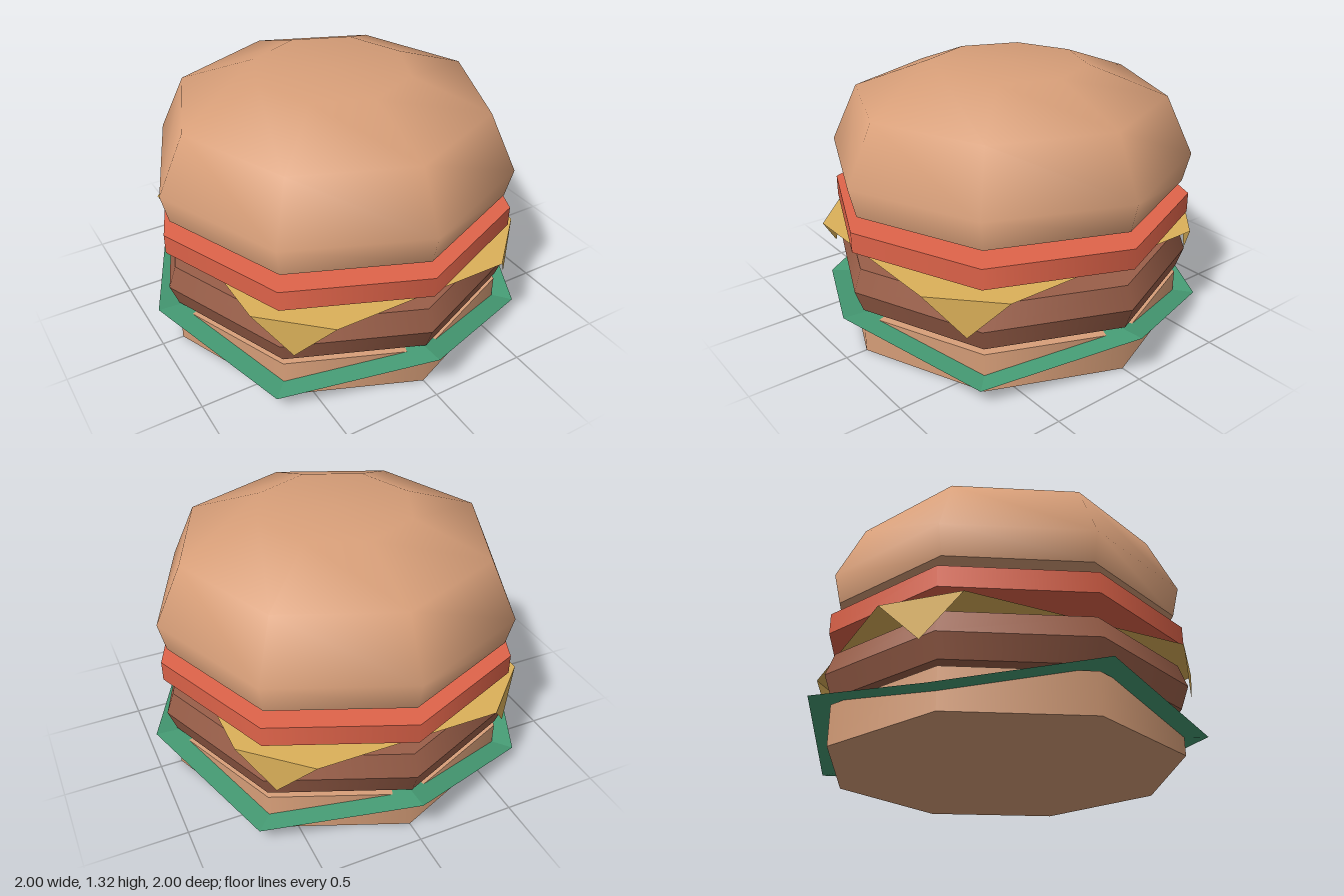
import * as THREE from 'three';

const SIDES = 8;

export function createModel() {
  const model = new THREE.Group();
  model.name = 'burger';

  const solid = (name, color) => Object.assign(new THREE.MeshStandardMaterial({ color }), { name });
  const sheet = (name, color) => Object.assign(
    new THREE.MeshStandardMaterial({ color, side: THREE.DoubleSide, flatShading: true }), { name });
  const bun = solid('bun', 0xd89f79);
  const meat = solid('meat', 0x9a5f49);
  const tomato = solid('tomato', 0xe0644a);
  const lettuce = sheet('lettuce', 0x459b74);
  const cheese = sheet('cheese', 0xdbb059);

  function add(name, geometry, material, parent = model) {
    const mesh = new THREE.Mesh(geometry, material);
    mesh.name = name;
    parent.add(mesh);
    return mesh;
  }

  // Eight-sided drum between two heights, smooth around and sharp at the rims
  function drum(name, y0, y1, r0, r1, material, parent) {
    const geometry = new THREE.CylinderGeometry(r1, r0, y1 - y0, SIDES);
    add(name, geometry, material, parent).position.y = (y0 + y1) / 2;
  }

  // Thin sheet made of triangles
  function sheetGeometry(triangles) {
    const geometry = new THREE.BufferGeometry().setFromPoints(triangles.flat());
    geometry.computeVertexNormals();
    return geometry;
  }

  // Triangles from a centre to a closed ring
  const fan = (centre, ring) => ring.map((p, i) => [centre, p, ring[(i + 1) % ring.length]]);

  drum('bottomBun', 0, 0.2, 0.89, 0.89, bun);

  // Wavy lettuce leaf: rim alternates high and low
  const rim = Array.from({ length: SIDES }, (_, i) => {
    const a = (i / SIDES) * Math.PI * 2;
    return new THREE.Vector3(Math.cos(a), i % 2 ? 0.08 : 0.225, -Math.sin(a));
  });
  add('lettuceLeaf', sheetGeometry(fan(new THREE.Vector3(0, 0.155, 0), rim)), lettuce);

  // Patty bulges at its middle
  const patty = new THREE.Group();
  patty.name = 'patty';
  model.add(patty);
  drum('pattyLower', 0.23, 0.342, 0.89, 0.93, meat, patty);
  drum('pattyUpper', 0.342, 0.455, 0.93, 0.89, meat, patty);

  // Cheese slice: flat top with four corners folded straight down
  const outline = [];
  const flaps = [];
  for (const [sx, sz] of [[1, -1], [-1, -1], [-1, 1], [1, 1]]) {
    const a = new THREE.Vector3(sx * 0.757, 0.505, sz * 0.572);
    const b = new THREE.Vector3(sx * 0.465, 0.505, sz * 0.847);
    const tip = new THREE.Vector3(sx * 0.612, 0.31, sz * 0.709);
    const [first, second] = sx * sz < 0 ? [a, b] : [b, a];
    outline.push(first, second);
    flaps.push([first, tip, second]);
  }
  const top = fan(new THREE.Vector3(0, 0.505, 0), outline);
  add('cheeseSlice', sheetGeometry([...top, ...flaps]), cheese);

  drum('tomatoSlice', 0.555, 0.658, 0.927, 0.927, tomato);

  // Domed top bun with a flat underside
  const topBun = new THREE.Group();
  topBun.name = 'topBun';
  model.add(topBun);
  const profile = [[0.89, 0.728], [0.925, 0.875], [0.787, 1.17], [0.395, 1.317], [0, 1.317]]
    .map(([r, y]) => new THREE.Vector2(r, y));
  add('topBunDome', new THREE.LatheGeometry(profile, SIDES), bun, topBun);
  const base = new THREE.CircleGeometry(0.89, SIDES).rotateX(Math.PI / 2);
  add('topBunBase', base, bun, topBun).position.y = 0.728;

  return model;
}
